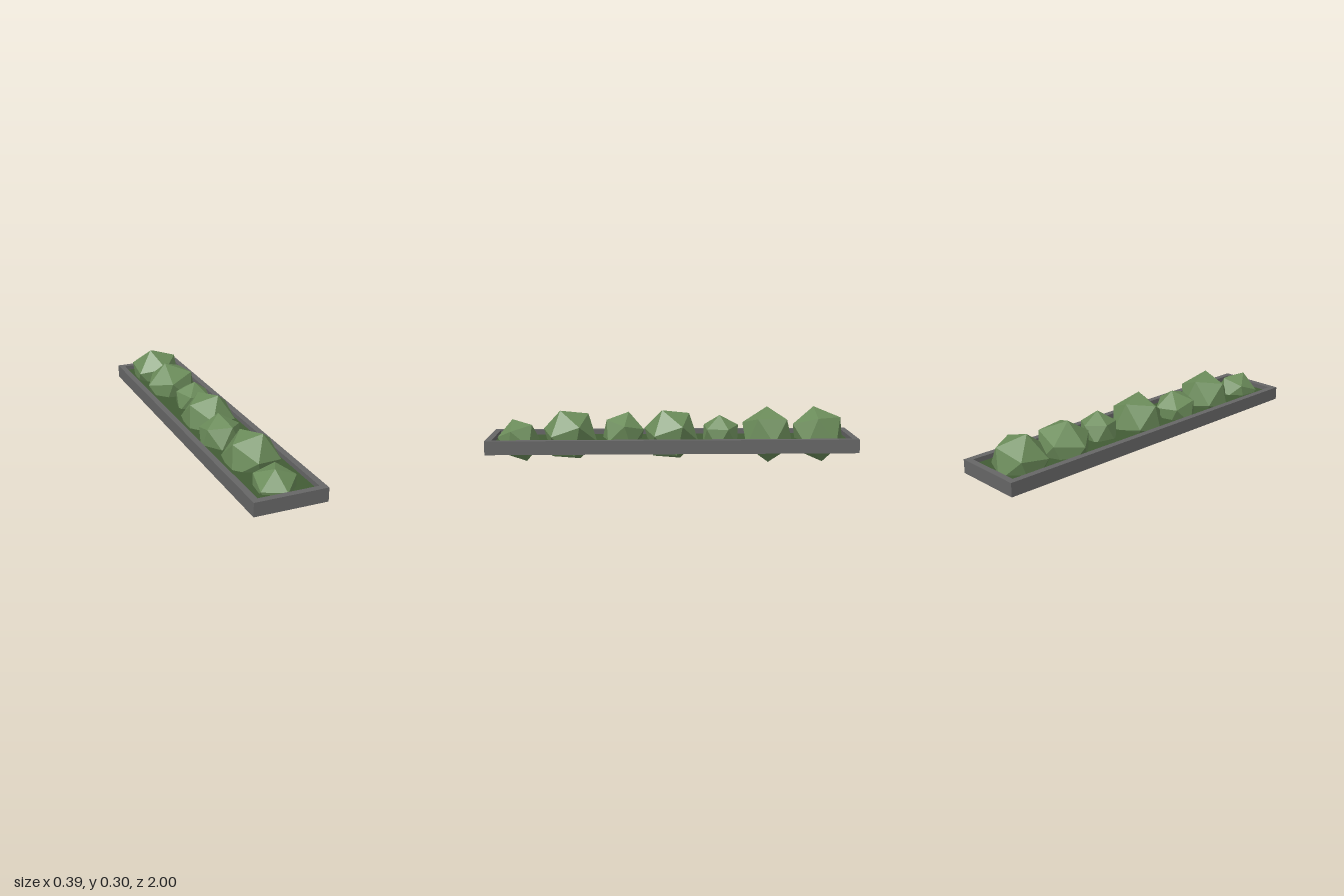
import * as THREE from 'three';

const V = (a) => new THREE.Vector3(...a);

// Orthonormal frame whose y axis follows a, with b lying in the x-y plane
function frame(a, b) {
  const y = a.clone().normalize();
  const x = b.clone().addScaledVector(y, -b.dot(y)).normalize();
  return new THREE.Matrix4().makeBasis(x, y, x.clone().cross(y));
}

export function createModel() {
  const model = new THREE.Group();
  const stone = new THREE.MeshStandardMaterial({ color: 0x666666, flatShading: true });
  const soilMat = new THREE.MeshStandardMaterial({ color: 0x425c35, flatShading: true });
  const leaf = new THREE.MeshStandardMaterial({ color: 0x6b8c5a, flatShading: true });

  const W = 0.195, L = 1, wall = 0.034, y0 = 0.086, y1 = 0.16, soilTop = 0.135;
  const add = (name, geo, mat, x, y, z) => {
    const mesh = new THREE.Mesh(geo, mat);
    mesh.name = name;
    mesh.position.set(x, y, z);
    model.add(mesh);
    return mesh;
  };

  // Planter walls: a rectangular ring
  const rect = (s, w, l) =>
    s.setFromPoints([[-w, -l], [w, -l], [w, l], [-w, l]].map(([x, y]) => new THREE.Vector2(x, y)));
  const ring = rect(new THREE.Shape(), W, L);
  ring.holes.push(rect(new THREE.Path(), W - wall, L - wall));
  const walls = new THREE.ExtrudeGeometry(ring, { depth: y1 - y0, bevelEnabled: false });
  walls.rotateX(-Math.PI / 2);
  add('planterWalls', walls, stone, 0, y0, 0);

  // Planter floor and the green bed on it
  const w = 2 * (W - wall), l = 2 * (L - wall), floor = 0.01;
  add('planterFloor', new THREE.BoxGeometry(w, floor, l), stone, 0, y0 + floor / 2, 0);
  const bedH = soilTop - y0 - floor;
  add('plantBed', new THREE.BoxGeometry(w, bedH, l), soilMat, 0, soilTop - bedH / 2, 0);

  // Bushes: centre, radius, and the directions of two neighbouring corners
  const bushes = [
    [[-0.01, 0.158, -0.81], 0.155, [-0.04, 0.148, 0.02], [0.03, 0.095, -0.12]],
    [[-0.01, 0.157, -0.53], 0.155, [-0.04, 0.15, 0], [0.077, 0.095, -0.095]],
    [[0.02, 0.16, -0.265], 0.112, [0.01, 0.107, 0.005], [0, 0.075, -0.08]],
    [[0, 0.16, 0.005], 0.154, [0.04, 0.14, 0.05], [-0.03, 0.03, 0.148]],
    [[-0.04, 0.16, 0.27], 0.125, [0, 0.118, -0.03], [0.03, 0.09, 0.09]],
    [[0, 0.16, 0.56], 0.154, [0.04, 0.14, 0.05], [-0.03, 0.03, 0.148]],
    [[-0.01, 0.13, 0.84], 0.122, [-0.02, 0.115, 0.04], [0.04, 0.09, -0.08]],
  ];
  const t = (1 + Math.sqrt(5)) / 2;
  const rest = frame(V([-1, t, 0]), V([1, t, 0])).invert();
  bushes.forEach(([centre, radius, a, b], i) => {
    const geo = new THREE.IcosahedronGeometry(radius, 0);
    geo.applyMatrix4(frame(V(a), V(b)).multiply(rest));
    add('bush' + (i + 1), geo, leaf, ...centre);
  });

  return model;
}
